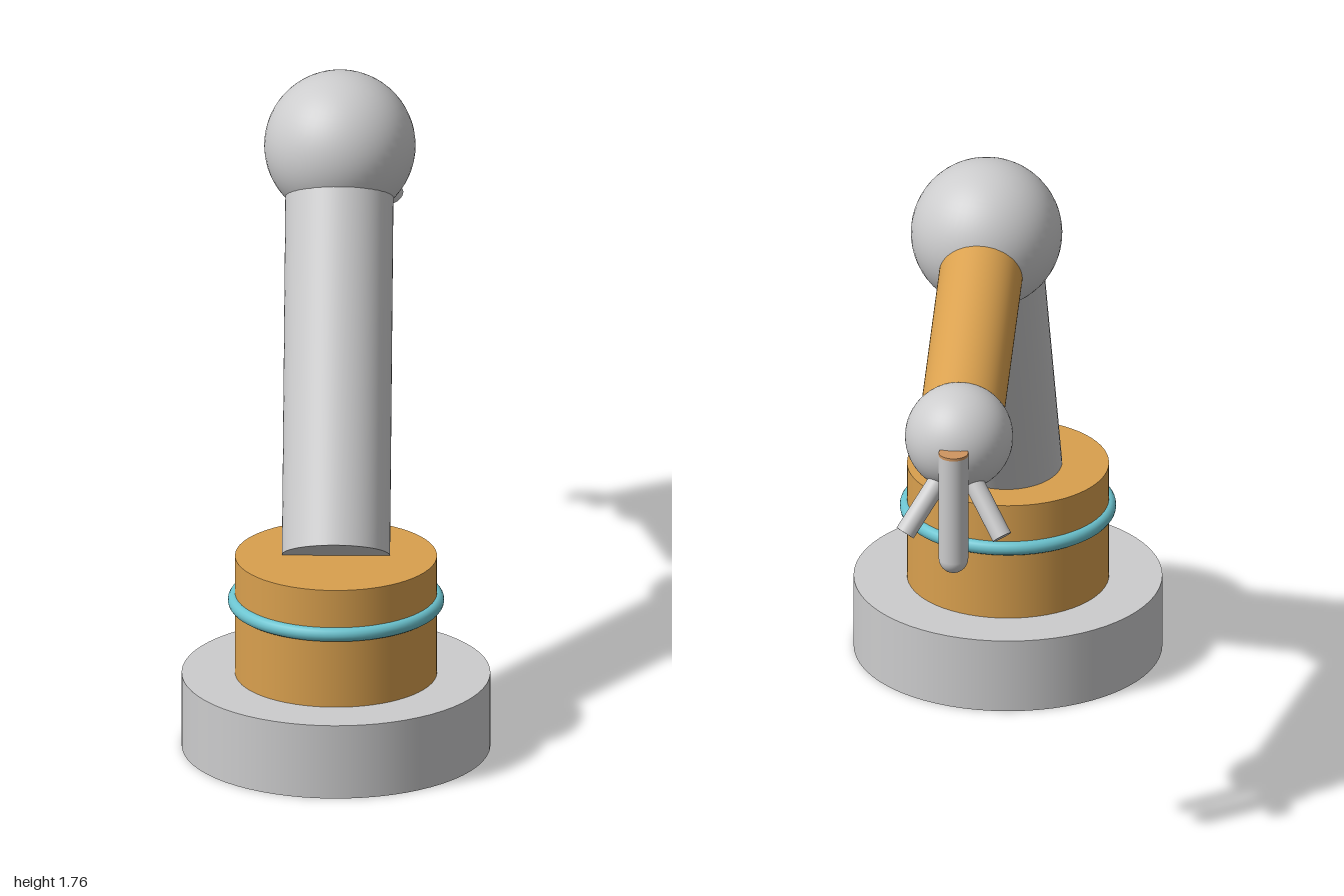
import * as THREE from 'three';

const colour = (name, hex) => {
  const m = new THREE.MeshStandardMaterial({ color: hex });
  m.name = name;
  return m;
};

export function createModel() {
  const grey = colour('light grey', 0xcccccd);
  const orange = colour('orange', 0xd9a04e);
  const teal = colour('teal', 0x6cc4d0);
  const copper = colour('copper', 0xcf9560);

  const model = new THREE.Group();
  model.name = 'robotArm';

  const add = (name, geometry, material, position) => {
    const mesh = new THREE.Mesh(geometry, material);
    mesh.name = name;
    mesh.position.copy(position);
    model.add(mesh);
    return mesh;
  };
  const v = (x, y, z) => new THREE.Vector3(x, y, z);

  // Cylinder running between two points
  const rod = (name, from, to, radius, material) => {
    const axis = to.clone().sub(from);
    const geometry = new THREE.CylinderGeometry(radius, radius, axis.length(), 64);
    const mesh = add(name, geometry, material, from.clone().add(to).multiplyScalar(0.5));
    mesh.quaternion.setFromUnitVectors(v(0, 1, 0), axis.normalize());
    return mesh;
  };
  const ball = (name, centre, radius) =>
    add(name, new THREE.SphereGeometry(radius, 48, 32), grey, centre);

  // Joint positions
  const baseZ = 0.57;
  const shoulder = v(0, 0.56, baseZ);
  const elbow = v(0, 1.55, -0.03);
  const wrist = v(0, 1.29, -0.8);

  // Base, turret and its ring
  rod('base', v(0, 0, baseZ), v(0, 0.215, baseZ), 0.428, grey);
  rod('turret', v(0, 0.215, baseZ), shoulder, 0.28, orange);
  const ring = add('turretRing', new THREE.TorusGeometry(0.28, 0.02, 16, 72), teal, v(0, 0.43, baseZ));
  ring.rotation.x = Math.PI / 2;

  // Arm segments and joints
  rod('upperArm', shoulder, elbow, 0.15, grey);
  ball('elbowJoint', elbow, 0.21);
  rod('forearm', elbow, wrist, 0.116, orange);
  ball('wristJoint', wrist, 0.15);

  // Main finger with a rounded tip and a thin cap
  rod('mainFinger', v(0, 0.99, -0.957), v(0, 1.306, -0.957), 0.041, grey);
  ball('mainFingertip', v(0, 0.99, -0.957), 0.041);
  rod('fingerCap', v(0, 1.306, -0.957), v(0, 1.314, -0.957), 0.041, copper);

  // Pair of splayed fingers
  for (const side of [1, -1]) {
    rod(side > 0 ? 'leftFinger' : 'rightFinger',
      v(side * 0.03, 1.22, -0.868), v(side * 0.135, 1.06, -0.956), 0.028, grey);
  }

  return model;
}
